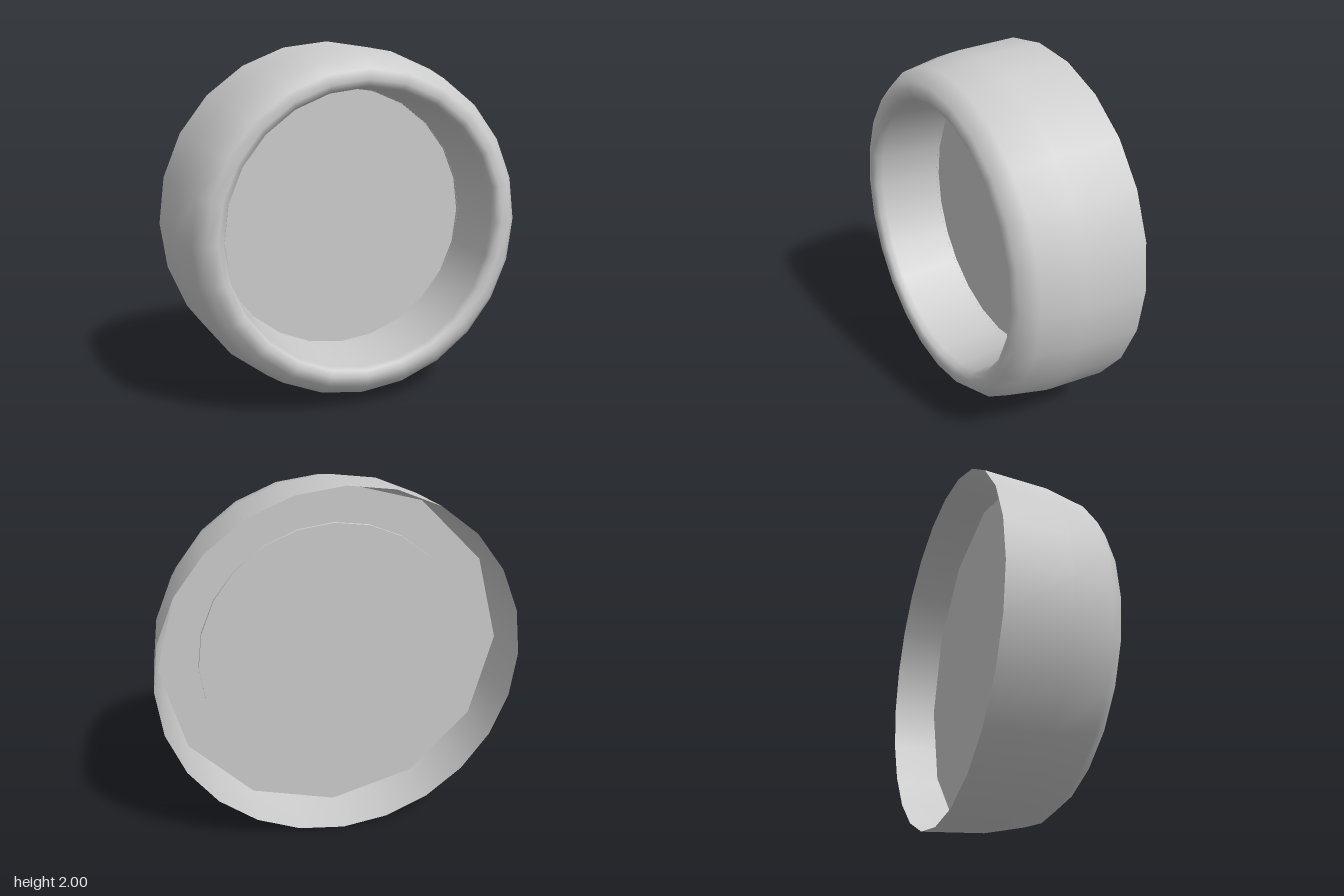
import * as THREE from 'three';

const SEGMENTS = 24;

export function createModel() {
  const model = new THREE.Group();
  model.name = 'roundHousing';
  const grey = new THREE.MeshStandardMaterial({ color: 0xcccccc, side: THREE.DoubleSide });
  grey.name = 'grey';

  const add = (name, geometry, z = 0) => {
    const mesh = new THREE.Mesh(geometry, grey);
    mesh.name = name;
    mesh.position.set(0, 1, z);
    model.add(mesh);
  };

  // Open shell: outer wall, rounded front rim, tapered inner wall (radius, z)
  const profile = [
    [1.0, -0.335], [0.98, 0.02], [0.93, 0.25], [0.865, 0.325],
    [0.81, 0.335], [0.777, 0.318], [0.766, 0.28], [0.75, -0.1],
  ].map(([r, z]) => new THREE.Vector2(r, z));
  add('shell', new THREE.LatheGeometry(profile, SEGMENTS).rotateX(Math.PI / 2));

  // Flat disc closing the inner wall
  add('faceDisc', new THREE.CircleGeometry(0.75, SEGMENTS), -0.1);

  // Coarser twelve-sided plate around the disc, inside the shell
  const plate = new THREE.Shape();
  for (let i = 0; i < 12; i++) {
    const a = (i / 12) * Math.PI * 2;
    plate[i ? 'lineTo' : 'moveTo'](0.966 * Math.cos(a), 0.966 * Math.sin(a));
  }
  const hole = new THREE.Path();
  for (let i = 0; i < SEGMENTS; i++) {
    const a = (-i / SEGMENTS) * Math.PI * 2;
    hole[i ? 'lineTo' : 'moveTo'](0.75 * Math.cos(a), 0.75 * Math.sin(a));
  }
  plate.holes.push(hole);
  add('backPlate', new THREE.ShapeGeometry(plate), -0.085);

  return model;
}
